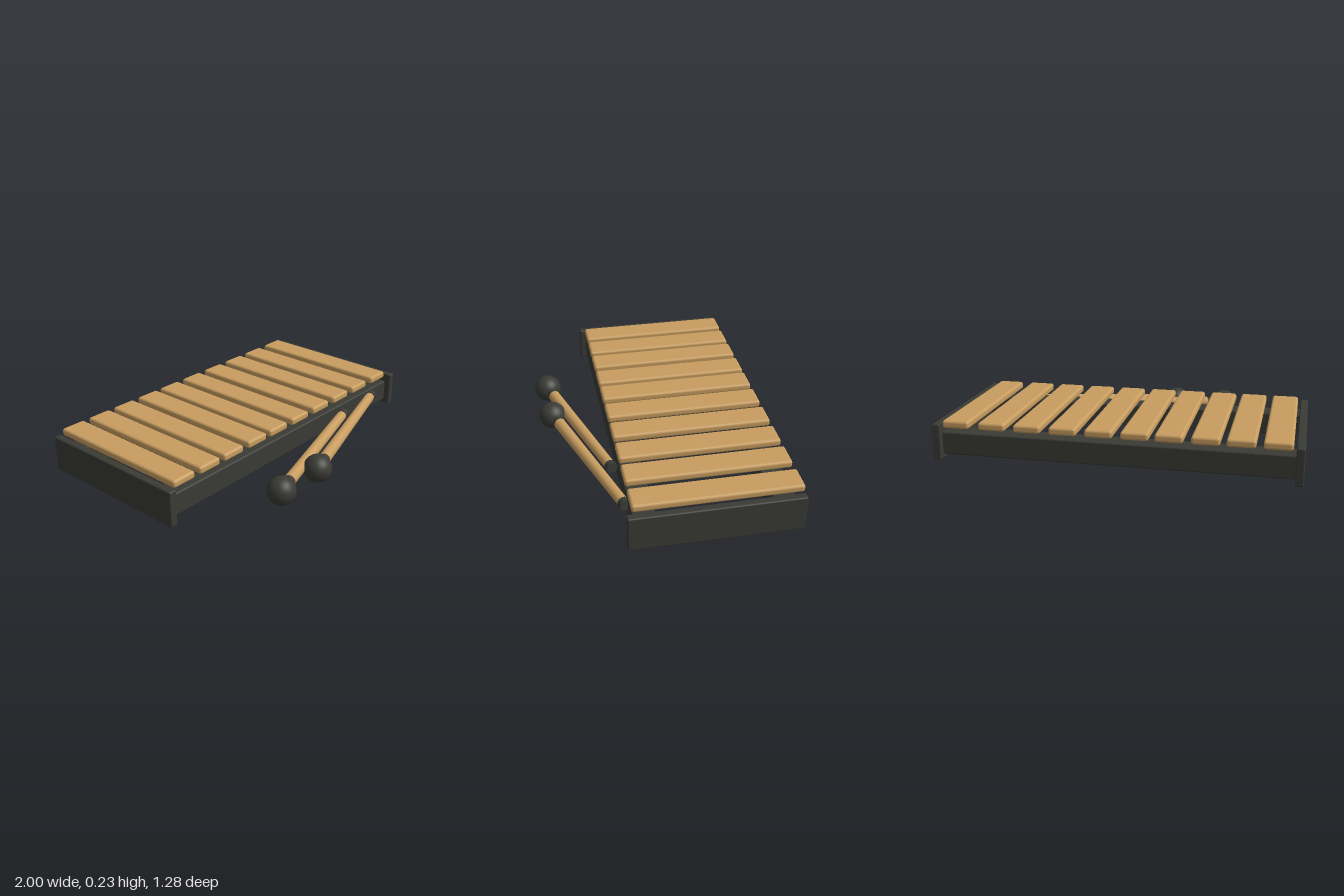
import * as THREE from 'three';
import { RoundedBoxGeometry } from 'three/addons/geometries/RoundedBoxGeometry.js';

export function createModel() {
  const model = new THREE.Group();
  model.name = 'xylophone';
  const wood = new THREE.MeshStandardMaterial({ name: 'wood', color: 0xc89d60 });
  const dark = new THREE.MeshStandardMaterial({ name: 'charcoal', color: 0x3a3b35 });

  const add = (parent, name, geometry, material, x = 0, y = 0, z = 0) => {
    const mesh = new THREE.Mesh(geometry, material);
    mesh.name = name;
    mesh.position.set(x, y, z);
    parent.add(mesh);
    return mesh;
  };

  // Frame: two end panels joined by two long rails
  const frame = new THREE.Group();
  frame.name = 'frame';
  model.add(frame);
  for (const side of [-1, 1]) {
    add(frame, side > 0 ? 'leftEndPanel' : 'rightEndPanel',
      new RoundedBoxGeometry(0.045, 0.205, 0.925, 2, 0.008), dark, side * 0.9775, 0.1025, -0.172);
  }
  const rail = new RoundedBoxGeometry(1.93, 0.13, 0.122, 2, 0.01);
  add(frame, 'frontRail', rail, dark, 0, 0.09, 0.193);
  add(frame, 'backRail', rail, dark, 0, 0.09, -0.54);

  // Sounding bars
  const bars = new THREE.Group();
  bars.name = 'bars';
  model.add(bars);
  const barGeometry = new RoundedBoxGeometry(0.15, 0.044, 0.9, 3, 0.015);
  [-0.866, -0.68, -0.498, -0.308, -0.127, 0.066, 0.262, 0.459, 0.656, 0.86].forEach((x, i) =>
    add(bars, `bar${i + 1}`, barGeometry, wood, x, 0.21, -0.19));

  // Mallets: ball head, dark collar, wooden stick, dark end cap
  const makeMallet = (name, head, tip) => {
    const mallet = new THREE.Group();
    mallet.name = name;
    const direction = tip.clone().sub(head);
    const length = direction.length();
    mallet.position.copy(head);
    mallet.quaternion.setFromUnitVectors(new THREE.Vector3(0, 1, 0), direction.normalize());
    const rod = (part, from, to, r0, r1, material) => add(mallet, part,
      new THREE.CylinderGeometry(r1, r0, to - from, 24), material, 0, (from + to) / 2, 0);
    add(mallet, 'head', new THREE.SphereGeometry(0.079, 32, 20), dark);
    rod('collar', 0.05, 0.118, 0.028, 0.031, dark);
    rod('stick', 0.11, length - 0.03, 0.034, 0.029, wood);
    rod('endCap', length - 0.035, length, 0.031, 0.031, dark);
    model.add(mallet);
  };
  makeMallet('rightMallet', new THREE.Vector3(-0.468, 0.086, 0.558), new THREE.Vector3(0.457, 0.112, 0.285));
  makeMallet('leftMallet', new THREE.Vector3(-0.157, 0.087, 0.556), new THREE.Vector3(0.787, 0.118, 0.265));

  return model;
}
